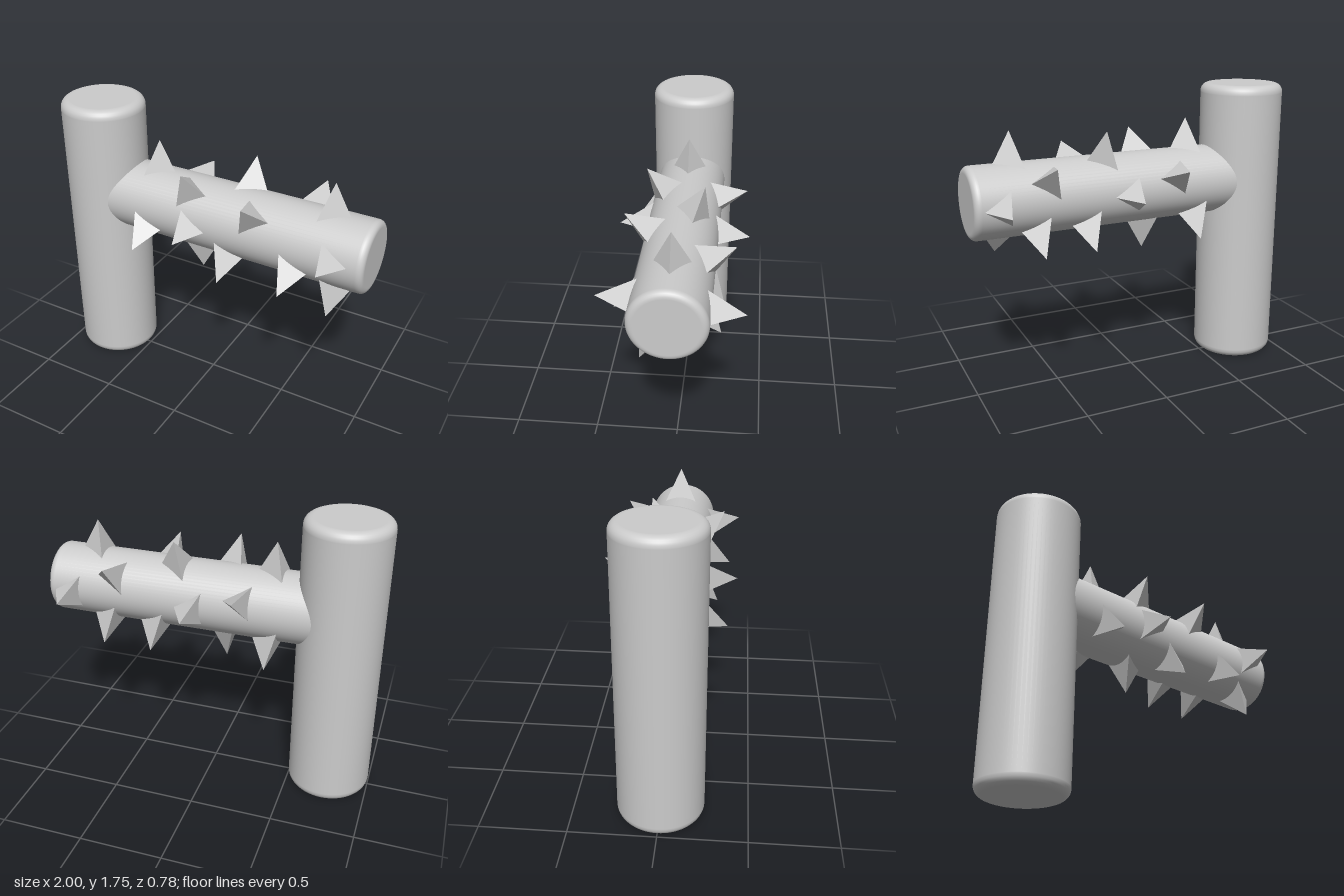
import * as THREE from 'three';

const smooth = new THREE.MeshStandardMaterial({ color: 0xcccccc });
const faceted = new THREE.MeshStandardMaterial({ color: 0xcccccc, flatShading: true });

// Solid cylinder along y from 0 to length, with filleted rims
function roundedCylinder(radius, length, fillet) {
  const profile = [new THREE.Vector2(0, 0), new THREE.Vector2(radius - fillet - 0.005, 0)];
  const steps = 6;
  const inner = radius - fillet;
  for (let i = 0; i <= steps; i++) {
    const a = (i / steps) * Math.PI / 2;
    profile.push(new THREE.Vector2(inner + fillet * Math.sin(a), fillet - fillet * Math.cos(a)));
  }
  // supports keep the wall straight-shaded
  profile.push(new THREE.Vector2(radius, fillet + 0.005));
  const mirrored = profile.map(p => new THREE.Vector2(p.x, length - p.y)).reverse();
  return new THREE.LatheGeometry([...profile, ...mirrored], 64);
}

export function createModel() {
  const model = new THREE.Group();
  model.name = 'spikedHammer';

  // Upright post
  const post = new THREE.Mesh(roundedCylinder(0.25, 1.75, 0.05), smooth);
  post.name = 'post';
  post.position.x = -0.75;
  model.add(post);

  // Horizontal arm, starting inside the post
  const arm = new THREE.Group();
  arm.name = 'spikedArm';
  arm.position.y = 1.17;
  model.add(arm);
  const bar = new THREE.Mesh(roundedCylinder(0.21, 1.75, 0.035), smooth);
  bar.name = 'bar';
  bar.rotation.z = -Math.PI / 2;
  bar.position.x = -0.75;
  arm.add(bar);

  // Three-sided spikes, one corner toward the free end, base sunk into the bar
  const spikeGeometry = new THREE.ConeGeometry(0.122, 0.22, 3, 1, false, Math.PI / 2);
  spikeGeometry.translate(0, 0.17 + 0.11, 0);

  // [position along the arm, degrees around it from top toward front]
  const spikes = [
    [-0.36, 0], [-0.36, 118], [-0.36, -144],
    [-0.2, -69], [-0.085, 35], [-0.07, 180], [-0.05, 94],
    [0.09, -91], [0.17, 136], [0.21, -20],
    [0.33, 50], [0.33, -139], [0.58, 120], [0.575, -56], [0.63, -139],
    [0.74, 0], [0.81, 84], [0.81, 154], [0.85, -91],
  ];
  for (const [x, degrees] of spikes) {
    const spike = new THREE.Mesh(spikeGeometry, faceted);
    spike.name = 'spike';
    spike.position.x = x;
    spike.rotation.x = THREE.MathUtils.degToRad(degrees);
    arm.add(spike);
  }
  return model;
}
